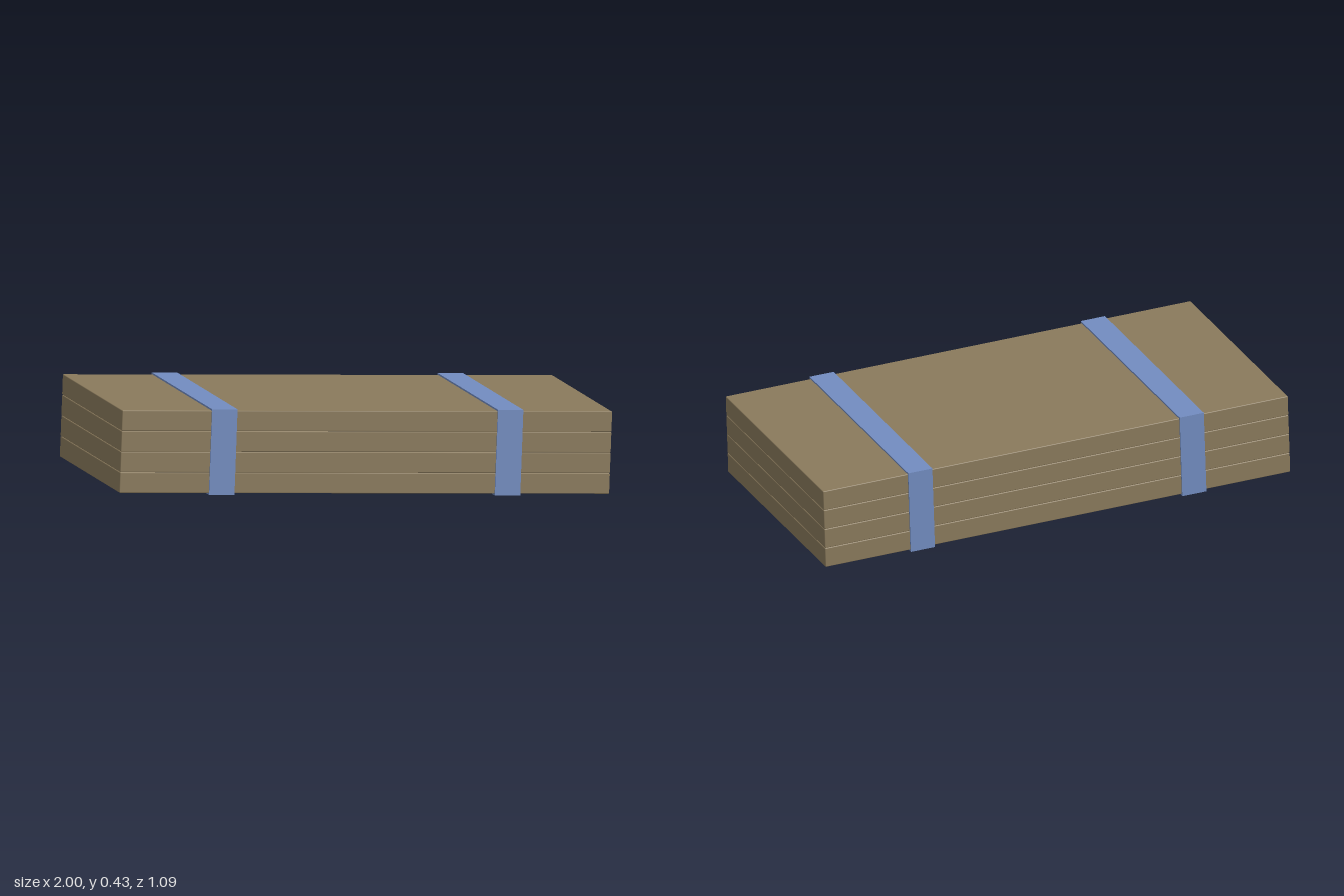
import * as THREE from 'three';
import { RoundedBoxGeometry } from 'three/addons/geometries/RoundedBoxGeometry.js';

export function createModel() {
  const board = new THREE.MeshStandardMaterial({ color: 0x8a7a5c });
  board.name = 'brown board';
  const band = new THREE.MeshStandardMaterial({ color: 0x728cc0 });
  band.name = 'blue strap';

  const W = 1.933, D = 0.966, H = 0.32, COUNT = 4, LIFT = 0.006;
  const stack = new THREE.Group();
  stack.name = 'strappedStack';

  // Four slabs with finely eased edges that leave thin seams
  const step = H / COUNT;
  const slabGeometry = new RoundedBoxGeometry(W, step - 0.001, D, 1, 0.003);
  for (let i = 0; i < COUNT; i++) {
    const slab = new THREE.Mesh(slabGeometry, board);
    slab.name = `slab${i + 1}`;
    slab.position.y = (i + 0.5) * step - H / 2;
    stack.add(slab);
  }

  // Flat straps: rectangular loops around the stack
  const rect = (target, w, h) => target
    .moveTo(-w / 2, -h / 2).lineTo(w / 2, -h / 2).lineTo(w / 2, h / 2).lineTo(-w / 2, h / 2).closePath();
  const loop = rect(new THREE.Shape(), D + 2 * LIFT, H + 2 * LIFT);
  loop.holes.push(rect(new THREE.Path(), D - 0.004, H - 0.004));
  const strapGeometry = new THREE.ExtrudeGeometry(loop, { depth: 0.1, bevelEnabled: false });
  strapGeometry.translate(0, 0, -0.05).rotateY(Math.PI / 2);
  for (const side of [-1, 1]) {
    const strap = new THREE.Mesh(strapGeometry, band);
    strap.name = side < 0 ? 'rightStrap' : 'leftStrap';
    strap.position.x = side * 0.564;
    stack.add(strap);
  }

  // The whole stack rests slightly turned and tilted
  const xAxis = new THREE.Vector3(0.9974, -0.0438, 0.0605).normalize();
  const yAxis = new THREE.Vector3(-0.061, 0.0259, 0.9977).cross(xAxis).normalize();
  const zAxis = new THREE.Vector3().crossVectors(xAxis, yAxis);
  stack.quaternion.setFromRotationMatrix(new THREE.Matrix4().makeBasis(xAxis, yAxis, zAxis));
  stack.position.y = 0.215;

  const model = new THREE.Group();
  model.name = 'model';
  model.add(stack);
  return model;
}
